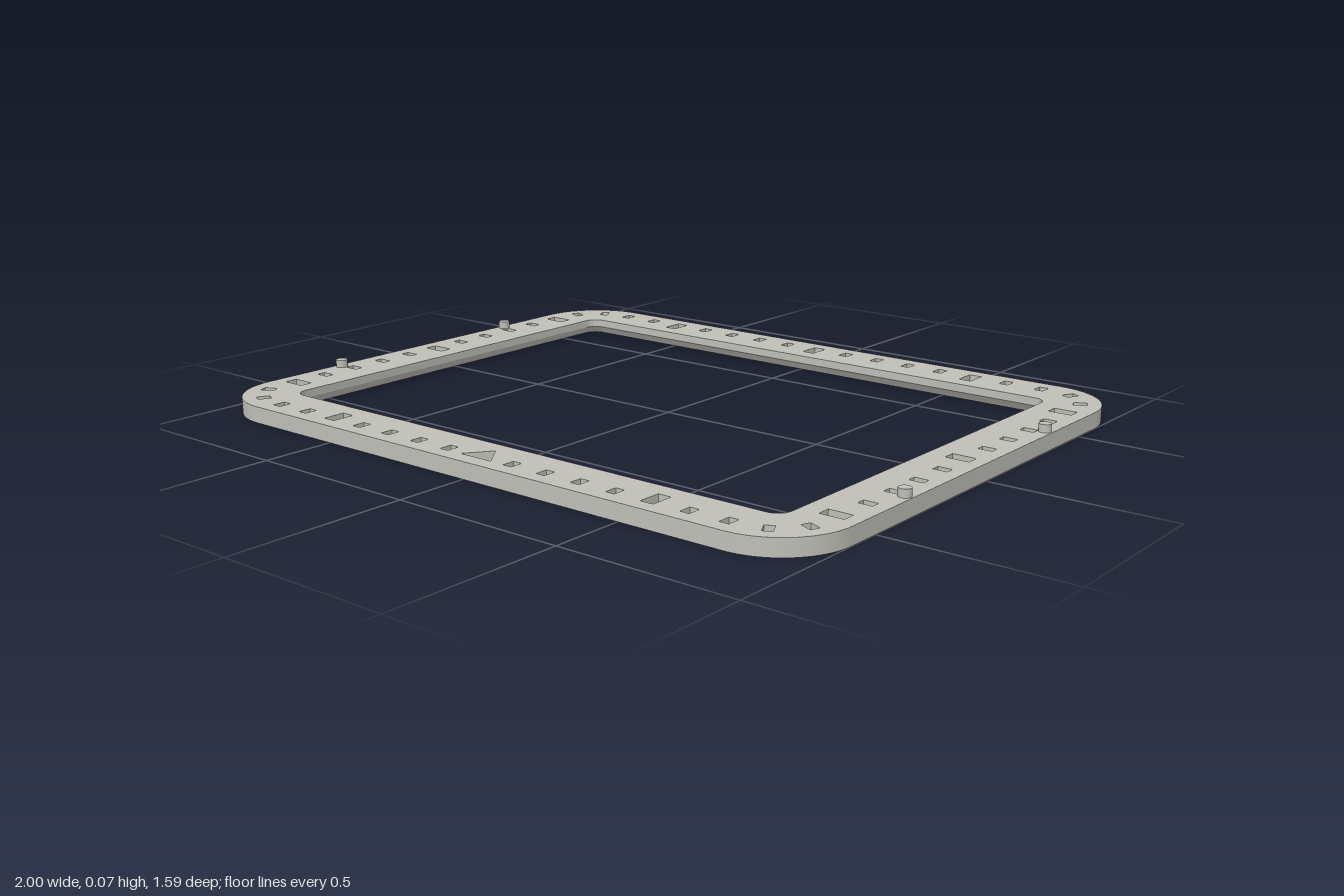
import * as THREE from 'three';
import { toCreasedNormals } from 'three/addons/utils/BufferGeometryUtils.js';

const HEIGHT = 0.046, PITCH = 0.11;
const OUTER = [1, 0.795, 0.2], INNER = [0.84, 0.635, 0.04]; // half width, half depth, corner radius

// Rounded rectangle centred on the origin
function roundedRect(path, [w, d, r]) {
  path.moveTo(w, -d + r);
  path.absarc(w - r, d - r, r, 0, Math.PI / 2);
  path.absarc(-w + r, d - r, r, Math.PI / 2, Math.PI);
  path.absarc(-w + r, -d + r, r, Math.PI, Math.PI * 1.5);
  path.absarc(w - r, -d + r, r, Math.PI * 1.5, Math.PI * 2);
  path.closePath();
  return path;
}

// Rectangular slot, turned by an angle about its centre
function slot(cx, cy, w, h, angle = 0) {
  const c = Math.cos(angle), s = Math.sin(angle);
  const corners = [[-1, -1], [-1, 1], [1, 1], [1, -1]].map(([i, j]) => {
    const x = i * w / 2, y = j * h / 2;
    return new THREE.Vector2(cx + x * c - y * s, cy + x * s + y * c);
  });
  return new THREE.Path(corners);
}

function frameGeometry() {
  const shape = roundedRect(new THREE.Shape(), OUTER);
  const holes = shape.holes;
  holes.push(roundedRect(new THREE.Path(), INNER));

  for (const s of [-1, 1]) {
    // Slots along the front and back bars, with a triangular marker in front
    for (let k = -7; k <= 7; k++) {
      const large = k % 5 === 0;
      if (k === 0 && s < 0) {
        holes.push(new THREE.Path([[-0.052, -0.75], [0, -0.68], [0.052, -0.75]]
          .map(p => new THREE.Vector2(...p))));
      } else if (large) holes.push(slot(k * PITCH, s * 0.72, 0.038, 0.065));
      else holes.push(slot(k * PITCH, s * 0.734, 0.027, 0.037));
    }
    // Slots along the side bars
    for (let k = -5; k <= 5; k++) {
      if (k % 5 === 0) holes.push(slot(s * 0.928, k * PITCH, 0.067, 0.037));
      else holes.push(slot(s * 0.941, k * PITCH, 0.04, 0.025));
    }
    // Two radial slots in each corner
    for (const t of [-1, 1]) {
      for (const deg of [24, 62]) {
        const a = deg * Math.PI / 180;
        holes.push(slot(s * (0.8 + 0.142 * Math.cos(a)), t * (0.595 + 0.142 * Math.sin(a)),
          0.038, 0.026, s * t * a));
      }
    }
  }

  const geo = new THREE.ExtrudeGeometry(shape,
    { depth: HEIGHT, steps: 2, bevelEnabled: false, curveSegments: 16 });
  geo.rotateX(-Math.PI / 2);

  // Chamfer the lower inner edge by widening the opening at the underside
  const p = geo.attributes.position;
  const chamfer = 0.015;
  for (let i = 0; i < p.count; i++) {
    const x = p.getX(i), z = p.getZ(i);
    if (p.getY(i) < 0.001 && Math.abs(x) < INNER[0] + 0.005 && Math.abs(z) < INNER[1] + 0.005) {
      p.setX(i, x * (1 + chamfer / INNER[0]));
      p.setZ(i, z * (1 + chamfer / INNER[1]));
    }
  }
  return toCreasedNormals(geo, 0.4);
}

export function createModel() {
  const grey = new THREE.MeshStandardMaterial({ color: 0xbfbfb8 });
  grey.name = 'warm grey';
  const model = new THREE.Group();
  model.name = 'slottedFrame';

  const frame = new THREE.Mesh(frameGeometry(), grey);
  frame.name = 'frame';
  model.add(frame);

  // Locating pegs on the side bars
  const pegGeo = new THREE.CylinderGeometry(0.017, 0.017, 0.032, 24);
  for (const sx of [-1, 1]) {
    for (const sz of [-1, 1]) {
      const peg = new THREE.Mesh(pegGeo, grey);
      peg.name = (sz > 0 ? 'front' : 'back') + (sx > 0 ? 'Left' : 'Right') + 'Peg';
      peg.position.set(sx * 0.979, 0.052, sz * 0.345);
      model.add(peg);
    }
  }
  return model;
}
